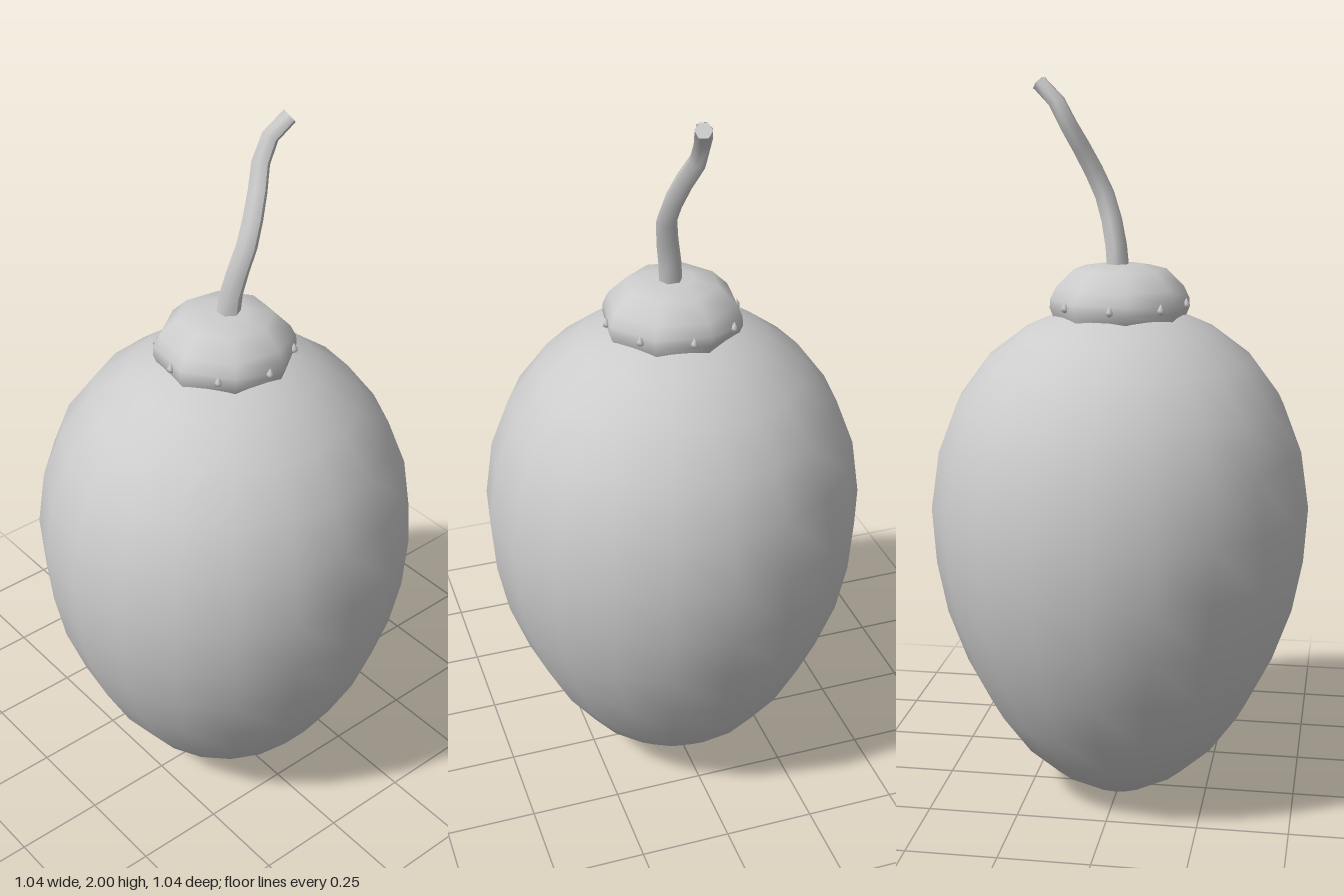
import * as THREE from 'three';

const V2 = (p) => new THREE.Vector2(p[0], p[1]);

export function createModel() {
  const group = new THREE.Group();
  const material = new THREE.MeshStandardMaterial({ color: 0xcccccc, side: THREE.DoubleSide });
  const add = (name, geometry, parent = group) => {
    const mesh = new THREE.Mesh(geometry, material);
    mesh.name = name;
    parent.add(mesh);
    return mesh;
  };

  // Egg-shaped body, twenty sides, narrow end down
  const bodyProfile = [
    [0, 0.005], [0.1, 0.023], [0.19, 0.077], [0.28, 0.16], [0.36, 0.272], [0.43, 0.41],
    [0.482, 0.555], [0.51, 0.7], [0.52, 0.853], [0.497, 1.01], [0.445, 1.145],
    [0.36, 1.26], [0.255, 1.34], [0.17, 1.377], [0.08, 1.4], [0, 1.405],
  ].map(V2);
  add('body', new THREE.LatheGeometry(bodyProfile, 20));

  // Eight-sided crown cap, turned slightly about its axis
  const capProfile = [
    [0.18, 1.37], [0.19, 1.395], [0.188, 1.42], [0.172, 1.452], [0.125, 1.498], [0.06, 1.51], [0, 1.512],
  ].map(V2);
  const turn = 0.24;
  add('cap', new THREE.LatheGeometry(capProfile, 8, turn));
  const base = add('capBase', new THREE.CircleGeometry(0.18, 8, turn - Math.PI / 2));
  base.rotation.x = Math.PI / 2;
  base.position.y = 1.37;

  // Small teardrop studs around the cap
  const studs = new THREE.Group();
  studs.name = 'studs';
  group.add(studs);
  const studGeometry = new THREE.LatheGeometry(
    [[0, -0.014], [0.009, -0.009], [0.009, 0], [0, 0.016]].map(V2), 6);
  for (let i = 0; i < 8; i++) {
    const a = (i * Math.PI) / 4;
    add('stud', studGeometry, studs).position.set(0.18 * Math.sin(a), 1.408, 0.18 * Math.cos(a));
  }

  // Crooked tapering stem
  const path = new THREE.CatmullRomCurve3([
    [0.005, 1.49, 0.005], [0.015, 1.58, 0.012], [0.045, 1.69, 0.03], [0.095, 1.8, 0.008],
    [0.14, 1.89, -0.025], [0.17, 1.945, -0.022], [0.213, 1.984, -0.007],
  ].map((p) => new THREE.Vector3(...p)));
  const rings = 8, sides = 6;
  const stem = new THREE.TubeGeometry(path, rings, 0.032, sides);
  const pos = stem.attributes.position;
  const v = new THREE.Vector3();
  for (let i = 0; i < pos.count; i++) {
    const t = Math.floor(i / (sides + 1)) / rings;
    const centre = path.getPointAt(t);
    v.fromBufferAttribute(pos, i).sub(centre).multiplyScalar(1 - 0.3 * t).add(centre);
    pos.setXYZ(i, v.x, v.y, v.z);
  }
  stem.computeVertexNormals();
  add('stem', stem);

  // Flat cut at the stem tip
  const tip = add('stemTip', new THREE.CircleGeometry(0.0224, sides));
  const end = path.getPointAt(1);
  tip.position.copy(end);
  tip.lookAt(end.clone().add(path.getTangentAt(1)));

  return group;
}
